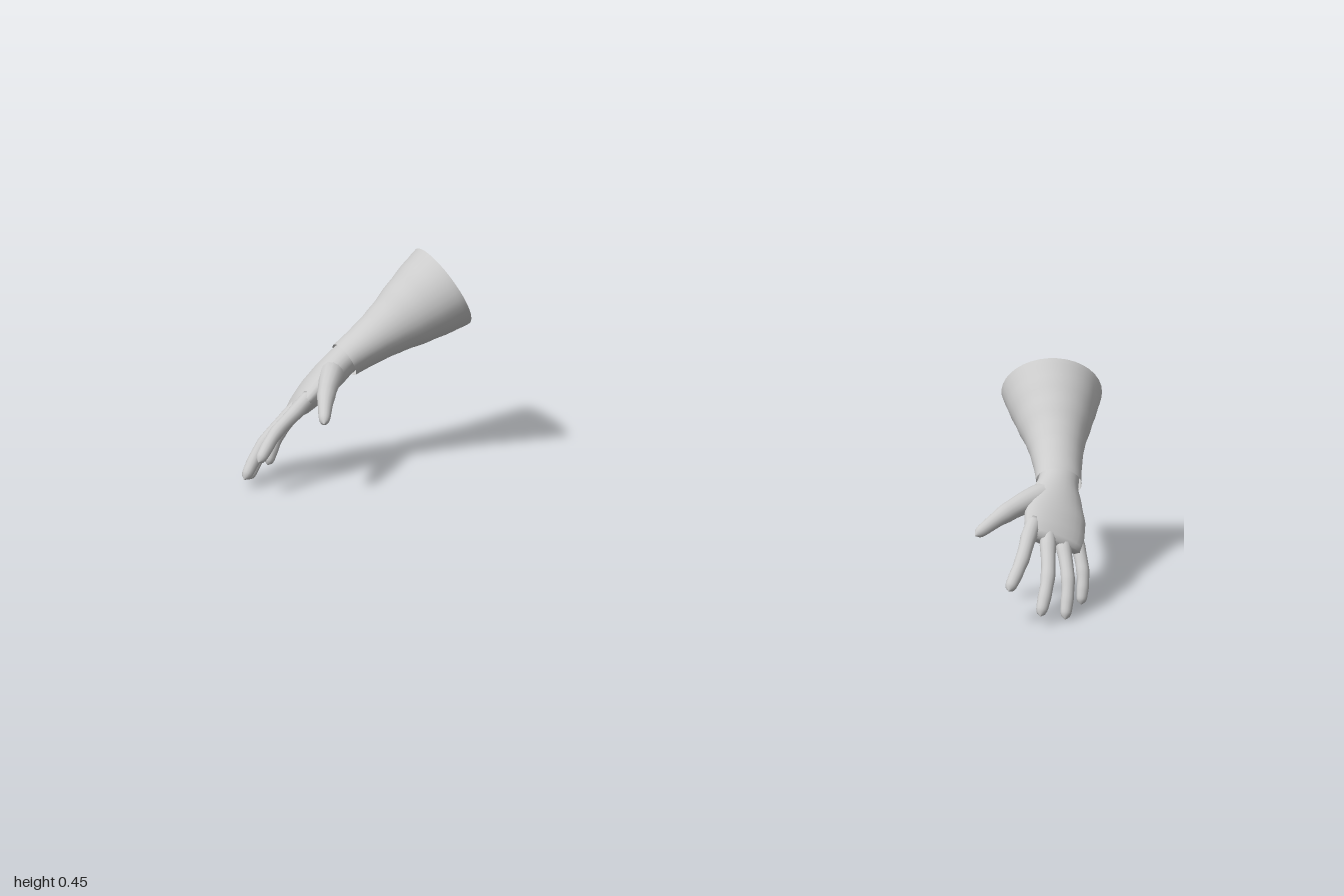
import * as THREE from 'three';

const V = (x, y, z) => new THREE.Vector3(x, y, z);
const lerp = THREE.MathUtils.lerp;
const ACROSS = V(0.62, -0.36, -0.7).normalize(); // from the thumb side to the little finger side

// Skin a list of rings (arrays of points); closed rings wrap around, caps end in a centre point
function loft(rings, { closed = true, capStart = false, capEnd = false } = {}) {
  const n = rings[0].length, m = rings.length, pos = [], idx = [];
  rings.forEach(r => r.forEach(p => pos.push(p.x, p.y, p.z)));
  for (let i = 0; i < m - 1; i++) {
    for (let j = 0; j < (closed ? n : n - 1); j++) {
      const k = (j + 1) % n;
      const a = i * n + j, b = i * n + k, c = a + n, d = b + n;
      idx.push(a, b, d, a, d, c);
    }
  }
  const cap = (row, flip) => {
    const c = V(0, 0, 0);
    rings[row].forEach(p => c.addScaledVector(p, 1 / n));
    const ci = pos.length / 3;
    pos.push(c.x, c.y, c.z);
    for (let j = 0; j < n; j++) {
      const a = row * n + j, b = row * n + (j + 1) % n;
      idx.push(ci, flip ? b : a, flip ? a : b);
    }
  };
  if (capStart) cap(0, true);
  if (capEnd) cap(m - 1, false);
  const g = new THREE.BufferGeometry();
  g.setAttribute('position', new THREE.Float32BufferAttribute(pos, 3));
  g.setIndex(idx);
  g.computeVertexNormals();
  return g;
}

// Linear lookup in rows that start with their parameter
function sample(rows, t) {
  let i = 0;
  while (i < rows.length - 2 && t > rows[i + 1][0]) i++;
  const [a, b] = [rows[i], rows[i + 1]];
  const f = THREE.MathUtils.smoothstep(t, a[0], b[0]) * 0.4 + 0.6 * (t - a[0]) / (b[0] - a[0]);
  return a.map((x, k) => lerp(x, b[k], f));
}

// Elliptical tube along a curve; size(t) gives half width and half thickness
function limb(points, size, rows, sides, caps) {
  const curve = new THREE.CatmullRomCurve3(points);
  const rings = [];
  for (let i = 0; i <= rows; i++) {
    const t = i / rows, c = curve.getPointAt(t), d = curve.getTangentAt(t);
    const w = ACROSS.clone().addScaledVector(d, -ACROSS.dot(d)).normalize();
    const n = d.clone().cross(w);
    const [hw, ht] = size(t);
    rings.push(Array.from({ length: sides }, (_, j) => {
      const a = j / sides * Math.PI * 2;
      return c.clone().addScaledVector(w, Math.cos(a) * hw).addScaledVector(n, Math.sin(a) * ht);
    }));
  }
  return loft(rings, caps);
}

function palmGeometry() {
  const profile = [
    [0, 0.042, 0.033], [0.2, 0.044, 0.033], [0.4, 0.058, 0.034],
    [0.62, 0.07, 0.031], [0.84, 0.07, 0.025], [1, 0.062, 0.015],
  ];
  const path = [V(0.855, 0.25, -0.032), V(0.868, 0.232, 0), V(0.883, 0.206, 0.034),
    V(0.898, 0.181, 0.065), V(0.912, 0.157, 0.092), V(0.922, 0.14, 0.112)];
  return limb(path, t => sample(profile, t).slice(1), 16, 24, { capStart: true, capEnd: true });
}

// Finger with slight joint swellings and a round tip
function fingerGeometry(path, r0, r1, joints) {
  const size = t => {
    let r = lerp(r0, r1, t);
    joints.forEach(j => { r *= 1 + 0.07 * Math.exp(-(((t - j) / 0.06) ** 2)); });
    if (t > 0.9) r *= Math.sqrt(Math.max(0.004, 1 - ((t - 0.9) / 0.1) ** 2));
    return [r, r * 0.95];
  };
  return limb(path, size, 30, 14, { capStart: true, capEnd: true });
}

// Flared cuff, open at both ends, split along the little finger side
function cuffGeometry() {
  const start = V(0.865, 0.235, -0.008), end = V(0.735, 0.36, -0.2);
  const axis = end.clone().sub(start).normalize();
  const u = ACROSS.clone().addScaledVector(axis, -ACROSS.dot(axis)).normalize();
  const v = axis.clone().cross(u);
  const profile = [
    [0, 0.05, 0.039], [0.12, 0.051, 0.043], [0.3, 0.056, 0.051], [0.45, 0.064, 0.061],
    [0.65, 0.08, 0.078], [0.85, 0.096, 0.093], [1, 0.107, 0.102],
  ];
  const rings = [], rows = 20, sides = 32;
  for (let i = 0; i <= rows; i++) {
    const t = i / rows, c = start.clone().lerp(end, t);
    const [, ru, rv] = sample(profile, t);
    const gap = 0.28 * Math.max(0, (t - 0.5) / 0.5);
    rings.push(Array.from({ length: sides + 1 }, (_, j) => {
      const a = lerp(gap, Math.PI * 2 - gap, j / sides);
      const flat = Math.sin(a) > 0 ? 1 - 0.12 * t * Math.sin(a) : 1; // flatter underside
      return c.clone().addScaledVector(u, Math.cos(a) * ru).addScaledVector(v, Math.sin(a) * rv * flat);
    }));
  }
  return loft(rings, { closed: false });
}

// Mirror across x and turn the faces back outwards
function mirrored(geometry) {
  const g = geometry.clone().scale(-1, 1, 1);
  const idx = g.index.array;
  for (let i = 0; i < idx.length; i += 3) [idx[i + 1], idx[i + 2]] = [idx[i + 2], idx[i + 1]];
  g.computeVertexNormals();
  return g;
}

export function createModel() {
  const model = new THREE.Group();
  model.name = 'gauntletPair';
  const skin = new THREE.MeshStandardMaterial({ color: 0xcccccc });
  const cloth = new THREE.MeshStandardMaterial({ color: 0xcccccc, side: THREE.DoubleSide });

  // Root inside the palm, base knuckle, middle joint, tip, base and tip radius
  const fingers = {
    indexFinger: [V(0.878, 0.185, 0.115), V(0.886, 0.163, 0.152), V(0.903, 0.126, 0.212), V(0.908, 0.078, 0.274), 0.0175, 0.0125],
    middleFinger: [V(0.9, 0.172, 0.095), V(0.918, 0.143, 0.128), V(0.95, 0.088, 0.184), V(0.964, 0.022, 0.238), 0.0175, 0.0125],
    ringFinger: [V(0.913, 0.162, 0.072), V(0.938, 0.13, 0.097), V(0.973, 0.071, 0.139), V(0.989, 0.003, 0.178), 0.0165, 0.012],
    littleFinger: [V(0.925, 0.155, 0.038), V(0.95, 0.12, 0.056), V(0.975, 0.073, 0.08), V(0.985, 0.016, 0.105), 0.016, 0.011],
  };
  const parts = { palm: palmGeometry(), cuff: cuffGeometry() };
  for (const [name, [a, b, c, d, r0, r1]] of Object.entries(fingers)) {
    parts[name] = fingerGeometry([a, b, c, d], r0, r1, [0.24, 0.58, 0.8]);
  }
  parts.thumb = fingerGeometry(
    [V(0.875, 0.222, 0.02), V(0.853, 0.219, 0.07), V(0.823, 0.2, 0.14), V(0.788, 0.163, 0.208)],
    0.031, 0.0115, [0.62]);

  for (const side of ['left', 'right']) {
    const hand = new THREE.Group();
    hand.name = side + 'Gauntlet';
    for (const [name, geometry] of Object.entries(parts)) {
      const mesh = new THREE.Mesh(side === 'left' ? geometry : mirrored(geometry), name === 'cuff' ? cloth : skin);
      mesh.name = name;
      hand.add(mesh);
    }
    model.add(hand);
  }
  return model;
}
